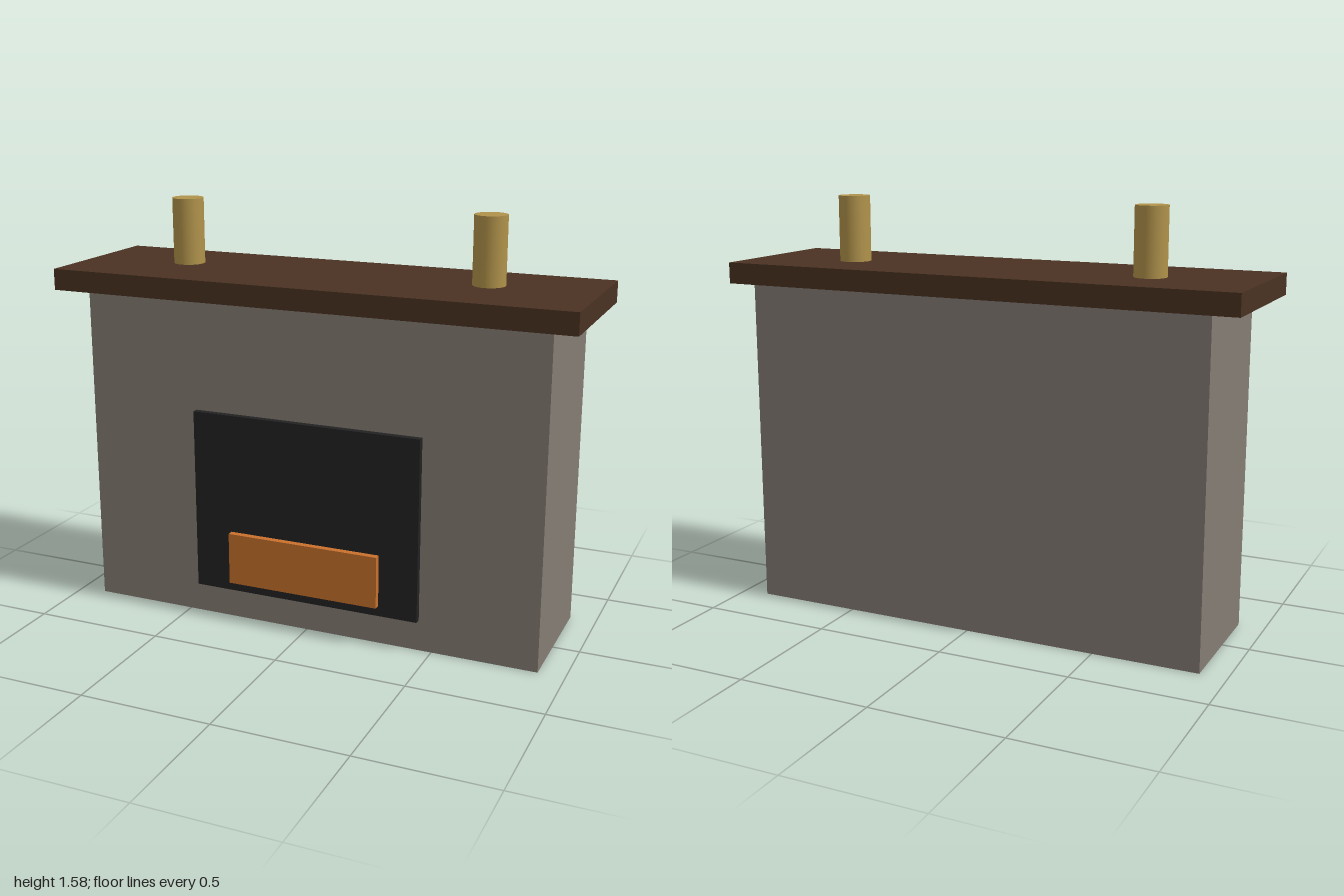
import * as THREE from 'three';

const material = (name, color) => {
  const m = new THREE.MeshStandardMaterial({ color });
  m.name = name;
  return m;
};

export function createModel() {
  const stone = material('stone', 0x857c74);
  const wood = material('dark wood', 0x4a3222);
  const soot = material('soot black', 0x222222);
  const ember = material('ember orange', 0xc8702c);
  const brass = material('brass', 0xb0924a);

  const model = new THREE.Group();
  model.name = 'fireplace';

  const add = (name, geometry, mat, x, y, z) => {
    const mesh = new THREE.Mesh(geometry, mat);
    mesh.name = name;
    mesh.position.set(x, y, z);
    model.add(mesh);
  };
  // Box given by width, bottom, top, back and front
  const slab = (name, mat, w, y0, y1, z0, z1) =>
    add(name, new THREE.BoxGeometry(w, y1 - y0, z1 - z0), mat, 0, (y0 + y1) / 2, (z0 + z1) / 2);

  slab('chimneyBreast', stone, 1.8, 0, 1.25, -0.28, 0.22);
  slab('mantelShelf', wood, 2, 1.25, 1.33, -0.3, 0.3);
  slab('fireOpening', soot, 0.9, 0.12, 0.82, 0.2, 0.245);
  slab('embers', ember, 0.6, 0.16, 0.36, 0.23, 0.27);

  // Pair of candlesticks on the shelf
  for (const [name, side] of [['leftCandlestick', 1], ['rightCandlestick', -1]])
    add(name, new THREE.CylinderGeometry(0.06, 0.06, 0.25, 20), brass, side * 0.6, 1.455, -0.03);

  return model;
}
